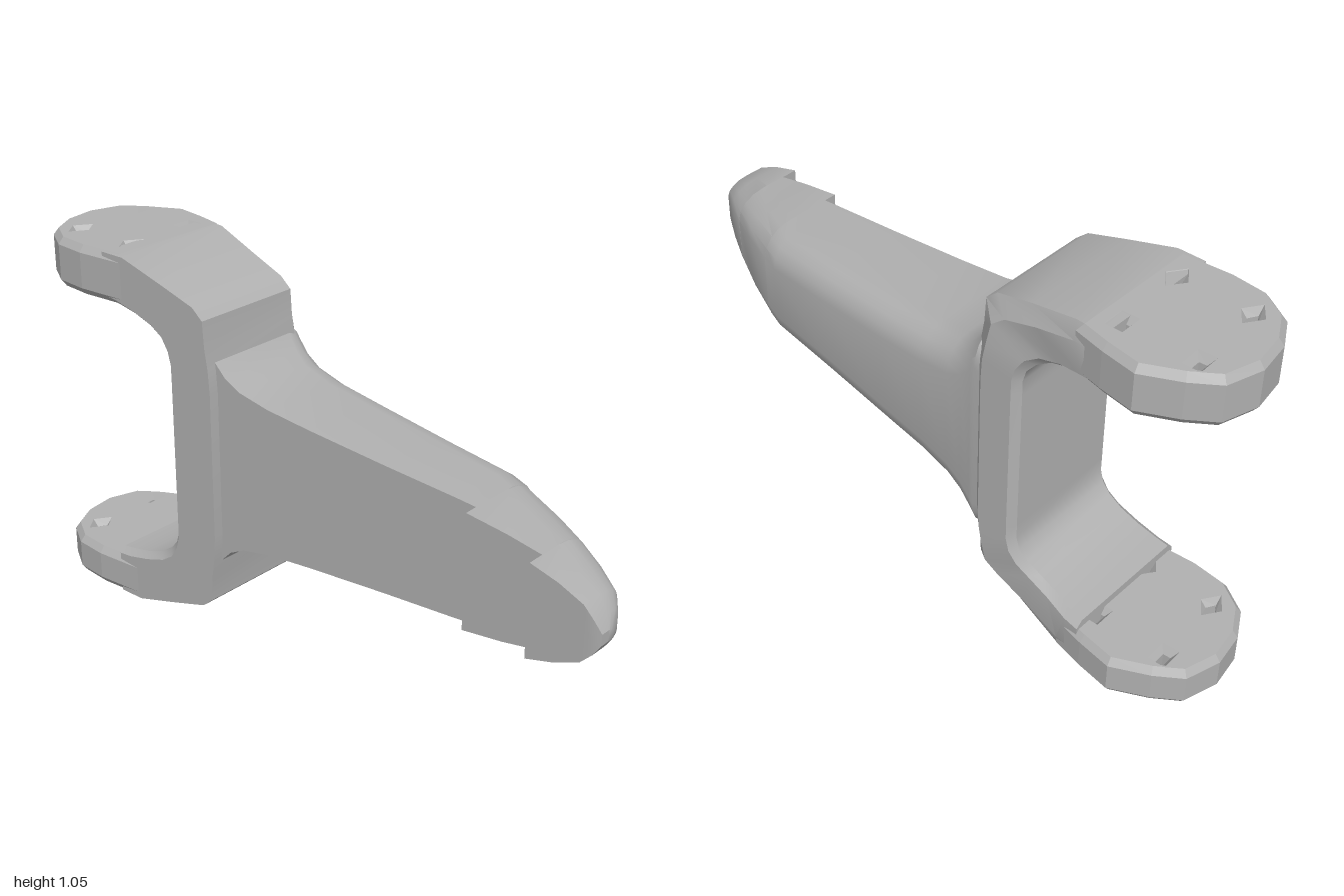
import * as THREE from 'three';
import { toCreasedNormals } from 'three/addons/utils/BufferGeometryUtils.js';

const MID = 0.5275; // height of the mirror plane between the two arms

// Skin a list of equal-length rings and cap both ends
function loft(rings, crease) {
  const n = rings[0].length;
  const pos = rings.flat(2);
  const index = [];
  for (let i = 0; i < rings.length - 1; i++) {
    for (let j = 0; j < n; j++) {
      const k = (j + 1) % n;
      const a = i * n + j, b = i * n + k, c = a + n, d = b + n;
      index.push(a, b, d, a, d, c);
    }
  }
  [0, rings.length - 1].forEach((r, end) => {
    const centre = pos.length / 3;
    for (let axis = 0; axis < 3; axis++) {
      pos.push(rings[r].reduce((s, p) => s + p[axis], 0) / n);
    }
    for (let j = 0; j < n; j++) {
      const a = r * n + j, b = r * n + (j + 1) % n;
      index.push(centre, ...(end ? [a, b] : [b, a]));
    }
  });
  const g = new THREE.BufferGeometry();
  g.setAttribute('position', new THREE.Float32BufferAttribute(pos, 3));
  g.setIndex(index);
  return toCreasedNormals(g, crease);
}

// Handle section: flat on -x, rounded corners on +x
function handleRing([z, half, xL, xR, round]) {
  const rx = round * (xR - xL), ry = Math.min(0.085, half * 0.5);
  const ring = [[xL, MID + half, z], [xL, MID - half, z]];
  for (const side of [-1, 1]) {
    for (let s = 0; s <= 4; s++) {
      const t = ((side < 0 ? s : 4 - s) / 4) * Math.PI / 2;
      ring.push([xR - rx + rx * Math.sin(t), MID + side * (half - ry + ry * Math.cos(t)), z]);
    }
  }
  return ring;
}

export function createModel() {
  const model = new THREE.Group();
  const grey = new THREE.MeshStandardMaterial({ color: 0xb0b0b0 });
  grey.name = 'plain grey';
  const add = (name, geometry) => {
    const mesh = new THREE.Mesh(geometry, grey);
    mesh.name = name;
    model.add(mesh);
    return mesh;
  };

  // Tapering handle, with two steps on its flat side: z, half height, xL, xR, rounding
  const handle = [
    [-0.40, 0.26, -0.16, 0.19, 0.15],
    [-0.30, 0.31, -0.16, 0.19, 0.15],
    [-0.285, 0.295, -0.16, 0.188, 0.17],
    [-0.25, 0.26, -0.16, 0.185, 0.20],
    [-0.20, 0.235, -0.16, 0.18, 0.24],
    [-0.10, 0.215, -0.16, 0.17, 0.27],
    [0.05, 0.20, -0.16, 0.155, 0.28],
    [0.30, 0.18, -0.16, 0.125, 0.30],
    [0.52, 0.165, -0.16, 0.10, 0.35],
    [0.579, 0.16, -0.16, 0.08, 0.40],
    [0.58, 0.16, -0.20, 0.08, 0.40],
    [0.70, 0.145, -0.20, 0.03, 0.50],
    [0.799, 0.127, -0.20, -0.02, 0.55],
    [0.80, 0.127, -0.25, -0.02, 0.50],
    [0.88, 0.105, -0.25, -0.065, 0.55],
    [0.95, 0.075, -0.25, -0.11, 0.55],
    [0.98, 0.045, -0.25, -0.15, 0.50],
    [1.0, 0.015, -0.245, -0.20, 0.50],
  ];
  add('handle', loft(handle.map(handleRing), 0.55));

  // Fork: web and both arms as one sweep: outer z, outer y, inner z, inner y, xR, bevel
  const upper = [
    [-0.28, 0.74, -0.445, 0.74, 0.20, 0.04],
    [-0.285, 0.81, -0.445, 0.785, 0.20, 0.05],
    [-0.295, 0.87, -0.455, 0.82, 0.20, 0.05],
    [-0.30, 0.945, -0.48, 0.85, 0.195, 0.045],
    [-0.335, 0.975, -0.52, 0.875, 0.19, 0.04],
    [-0.45, 1.01, -0.58, 0.895, 0.195, 0.03],
    [-0.60, 1.053, -0.64, 0.907, 0.21, 0.02],
    [-0.68, 1.053, -0.68, 0.912, 0.215, 0.02],
  ];
  const lower = upper.map(([oz, oy, iz, iy, x, b]) => [oz, 2 * MID - oy, iz, 2 * MID - iy, x, b]);
  const forkRing = ([oz, oy, iz, iy, xR, bevel]) => {
    const mix = (t) => [oz + (iz - oz) * t, oy + (iy - oy) * t];
    const at = (x, t) => { const [z, y] = mix(t); return [x, y, z]; };
    return [at(-0.19, 0), at(xR - bevel, 0), at(xR, 0.3), at(xR, 0.88), at(xR - 0.02, 1), at(-0.17, 1), at(-0.19, 0.88)];
  };
  add('fork', loft([...lower.reverse(), ...upper].map(forkRing), 0.5));

  // Rounded faceted end pads with four flared openings each (x, distance back)
  const outline = [[-0.19, 0.61], [0.205, 0.61], [0.225, 0.7], [0.24, 0.8], [0.19, 0.9], [0.14, 0.97],
    [0.04, 1.0], [-0.06, 0.985], [-0.14, 0.94], [-0.19, 0.86], [-0.2, 0.76]];
  const openings = [[-0.09, 0.67], [0.13, 0.68], [-0.09, 0.88], [0.13, 0.89]];
  const padGeometry = (height) => {
    const shape = new THREE.Shape(outline.map(([x, y]) => new THREE.Vector2(x, y)));
    openings.forEach(([x, y], i) => {
      const hole = [];
      for (let k = 0; k < 4; k++) {
        const a = -k * Math.PI / 2 + i * 0.8;
        hole.push(new THREE.Vector2(x + 0.025 * Math.cos(a), y + 0.015 * Math.sin(a)));
      }
      shape.holes.push(new THREE.Path(hole));
    });
    const edge = 0.02;
    const g = new THREE.ExtrudeGeometry(shape, {
      depth: height - 2 * edge, bevelEnabled: true, bevelSegments: 1,
      bevelSize: 0.015, bevelOffset: -0.015, bevelThickness: edge,
    });
    return g.rotateX(-Math.PI / 2).translate(0, edge, 0);
  };
  add('upperEndPad', padGeometry(0.143)).position.y = 0.912;
  add('lowerEndPad', padGeometry(0.12));

  return model;
}
